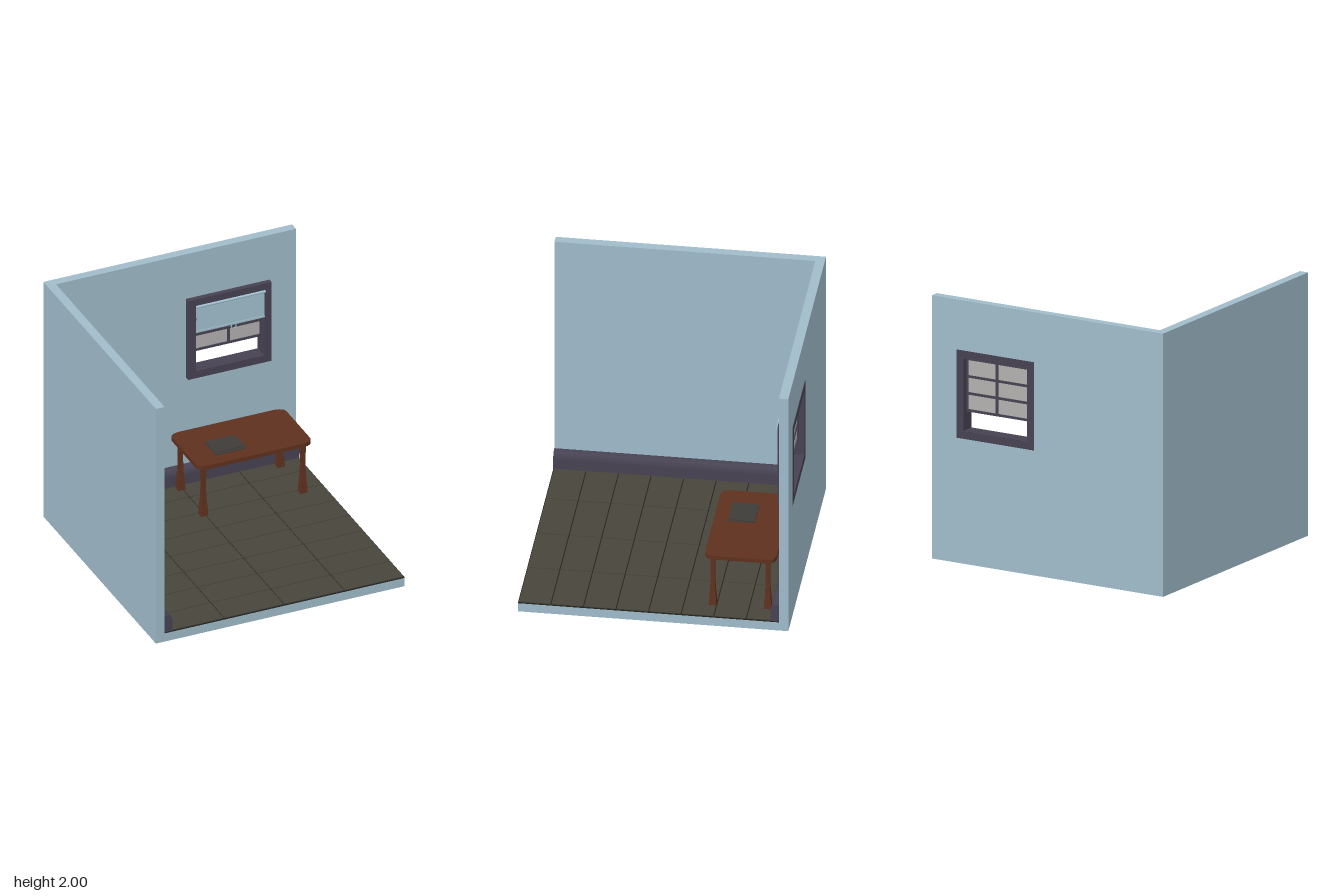
import * as THREE from 'three';

const mat = (color) => new THREE.MeshStandardMaterial({ color });
const M = {
  wall: mat(0xa0bccb), trim: mat(0x474252), tile: mat(0x48453b), grout: mat(0x24231e),
  wood: mat(0x5f311e), glass: mat(0xb3b0b0), blind: mat(0xa3c2d1), dark: mat(0x3f3c39), key: mat(0x242322),
};

function add(parent, name, geometry, material) {
  const mesh = new THREE.Mesh(geometry, material);
  mesh.name = name;
  parent.add(mesh);
  return mesh;
}

// Box given by its minimum and maximum corners
function box(parent, name, material, [x0, y0, z0], [x1, y1, z1]) {
  const m = add(parent, name, new THREE.BoxGeometry(x1 - x0, y1 - y0, z1 - z0), material);
  m.position.set((x0 + x1) / 2, (y0 + y1) / 2, (z0 + z1) / 2);
  return m;
}

function rect(x0, y0, x1, y1, Type = THREE.Shape) {
  const s = new Type();
  s.moveTo(x0, y0).lineTo(x1, y0).lineTo(x1, y1).lineTo(x0, y1).closePath();
  return s;
}

function extrude(shape, depth, curveSegments = 8) {
  return new THREE.ExtrudeGeometry(shape, { depth, bevelEnabled: false, curveSegments });
}

function group(parent, name) {
  const g = new THREE.Group();
  g.name = name;
  parent.add(g);
  return g;
}

function buildRoom(root) {
  const room = group(root, 'room');
  // Back wall with the window opening
  const wall = rect(-1, 0, 1, 2);
  wall.holes.push(rect(0.15, 0.98, 0.75, 1.59, THREE.Path));
  add(room, 'backWall', extrude(wall, 0.07), M.wall).position.z = -1;
  box(room, 'leftWall', M.wall, [-1, 0, -0.93], [-0.93, 2, 1]);
  box(room, 'floorSlab', M.wall, [-0.93, 0, -0.93], [1, 0.07, 1]);

  // Tiles over a dark grout bed
  box(room, 'grout', M.grout, [-0.93, 0.07, -0.93], [1, 0.077, 1]);
  const tiles = group(room, 'floorTiles');
  const dx = 0.482, dz = 0.241, gap = 0.004;
  for (let i = 0; i < 4; i++) {
    for (let j = 0; j < 8; j++) {
      const x = -0.93 + i * dx, z = -0.93 + j * dz;
      box(tiles, 'tile', M.tile, [x + gap, 0.075, z + gap], [x + dx - gap, 0.083, z + dz - gap]);
    }
  }

  // Rounded skirting along both walls
  const profile = new THREE.Shape();
  profile.moveTo(0, 0.072).lineTo(0.063, 0.072).lineTo(0.063, 0.165);
  profile.quadraticCurveTo(0.06, 0.22, 0.01, 0.22).lineTo(0, 0.22).closePath();
  const skirting = extrude(profile, 1.93);
  add(room, 'leftSkirting', skirting, M.trim).position.set(-0.93, 0, -0.93);
  const back = add(room, 'backSkirting', skirting, M.trim);
  back.rotation.y = -Math.PI / 2;
  back.position.set(1, 0, -0.93);
}

function buildWindow(root) {
  const win = group(root, 'window');
  const frame = rect(0.115, 0.95, 0.786, 1.62);
  frame.holes.push(rect(0.176, 1.01, 0.725, 1.56, THREE.Path));
  add(win, 'windowFrame', extrude(frame, 0.113), M.trim).position.z = -1.003;

  // Raised sash: three rows of two panes
  const sash = group(win, 'sash');
  const z0 = -0.96, z1 = -0.94;
  for (const y of [1.158, 1.287, 1.416, 1.55]) {
    box(sash, 'sashRail', M.trim, [0.176, y - 0.009, z0], [0.725, y + 0.009, z1]);
  }
  for (const [a, b] of [[0.176, 0.192], [0.454, 0.475], [0.714, 0.725]]) {
    box(sash, 'sashStile', M.trim, [a, 1.15, z0 + 0.001], [b, 1.558, z1 - 0.001]);
  }
  box(sash, 'glass', M.glass, [0.18, 1.155, -0.952], [0.72, 1.555, -0.948]);

  // Roller blind with bottom bar and pull ring
  const blind = group(win, 'rollerBlind');
  const roller = add(blind, 'roller', new THREE.CylinderGeometry(0.01, 0.01, 0.555, 16), M.blind);
  roller.rotation.z = Math.PI / 2;
  roller.position.set(0.452, 1.562, -0.878);
  box(blind, 'blindSheet', M.blind, [0.18, 1.345, -0.886], [0.724, 1.562, -0.882]);
  box(blind, 'bottomBar', M.blind, [0.178, 1.343, -0.889], [0.726, 1.357, -0.877]);
  const ring = add(blind, 'pullRing', new THREE.TorusGeometry(0.02, 0.004, 8, 24), M.blind);
  ring.position.set(0.476, 1.328, -0.88);
}

// Square leg flaring towards the foot
function legGeometry() {
  const levels = [[0.08, 0.028], [0.12, 0.027], [0.18, 0.022], [0.26, 0.017], [0.36, 0.0155], [0.47, 0.018], [0.498, 0.018]];
  const g = new THREE.BoxGeometry(2, 1, 2, 1, levels.length - 1, 1);
  const p = g.attributes.position;
  for (let i = 0; i < p.count; i++) {
    const [y, r] = levels[Math.round((p.getY(i) + 0.5) * (levels.length - 1))];
    p.setXYZ(i, p.getX(i) * r, y, p.getZ(i) * r);
  }
  g.computeVertexNormals();
  return g;
}

function buildTable(root) {
  const table = group(root, 'table');
  // Top with softly rounded corners
  const w = 0.46, d = 0.265, rx = 0.095, rz = 0.06;
  const s = new THREE.Shape();
  s.moveTo(-w + rx, -d).lineTo(w - rx, -d).quadraticCurveTo(w, -d, w, -d + rz);
  s.lineTo(w, d - rz).quadraticCurveTo(w, d, w - rx, d);
  s.lineTo(-w + rx, d).quadraticCurveTo(-w, d, -w, d - rz);
  s.lineTo(-w, -d + rz).quadraticCurveTo(-w, -d, -w + rx, -d);
  const top = add(table, 'tableTop', extrude(s, 0.032), M.wood);
  top.rotation.x = -Math.PI / 2;
  top.position.set(0.42, 0.495, -0.625);

  const leg = legGeometry();
  for (const x of [0.022, 0.822]) {
    for (const [z, inward] of [[-0.418, -1], [-0.825, 1]]) {
      add(table, 'tableLeg', leg, M.wood).position.set(x, 0, z);
      // Slanted brace under the top
      const brace = add(table, 'legBrace', new THREE.BoxGeometry(0.034, 0.014, 0.06), M.wood);
      brace.position.set(x, 0.487, z + inward * 0.03);
      brace.rotation.x = -inward * 0.4;
    }
  }
}

function buildLaptop(root) {
  const laptop = group(root, 'laptop');
  box(laptop, 'laptopBase', M.dark, [0.146, 0.526, -0.665], [0.388, 0.534, -0.468]);
  for (let r = 0; r < 4; r++) {
    for (let c = 0; c < 11; c++) {
      const x = 0.156 + c * 0.0205, z = -0.58 + r * 0.024;
      box(laptop, 'key', M.key, [x, 0.533, z], [x + 0.016, 0.5365, z + 0.018]);
    }
  }
  // Lid almost closed, hinged along the back edge
  const lid = add(laptop, 'laptopLid', new THREE.BoxGeometry(0.242, 0.006, 0.188), M.dark);
  lid.position.set(0.267, 0.5395, -0.571);
  lid.rotation.x = -0.05;
}

export function createModel() {
  const root = new THREE.Group();
  root.name = 'cornerRoom';
  buildRoom(root);
  buildWindow(root);
  buildTable(root);
  buildLaptop(root);
  return root;
}
